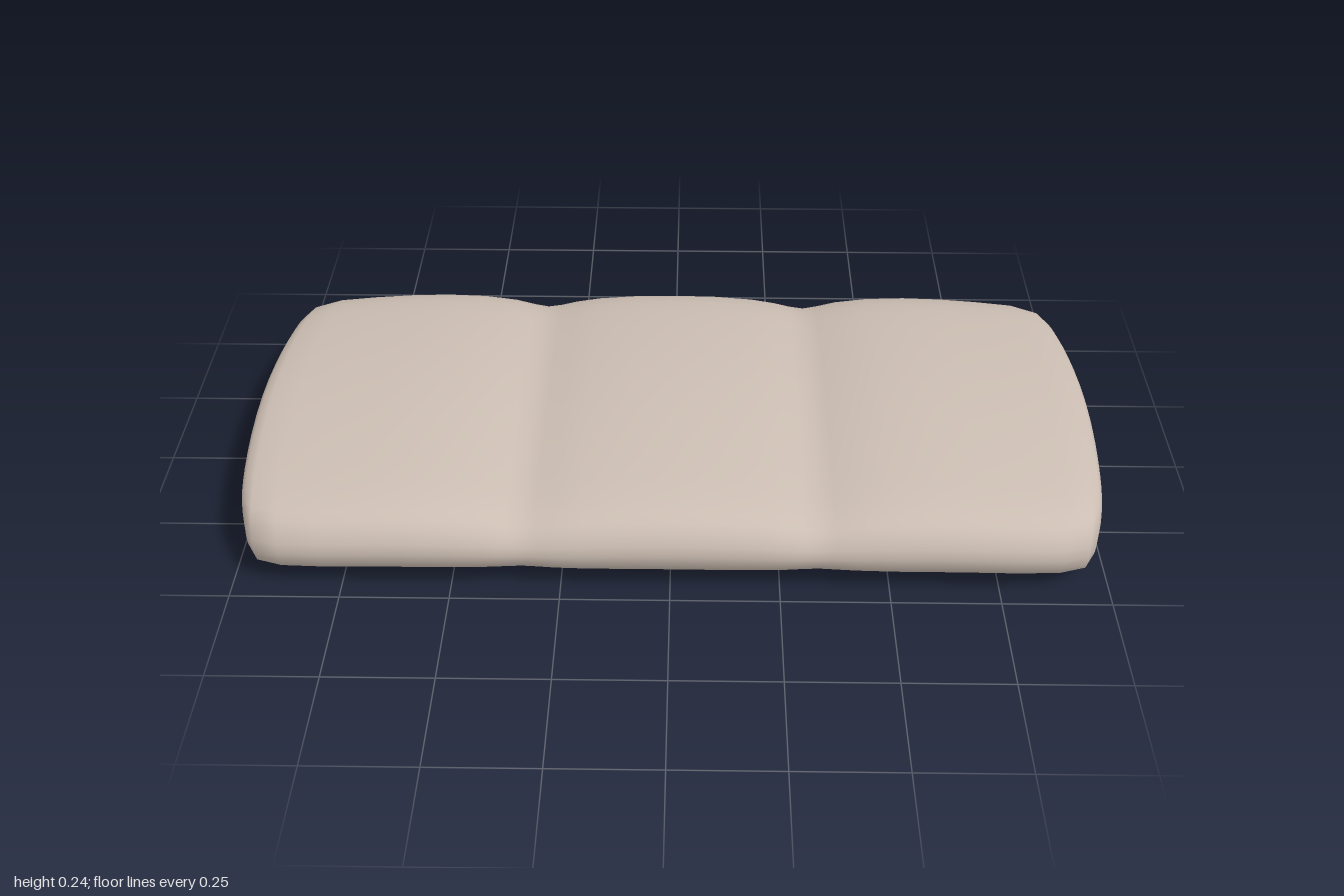
import * as THREE from 'three';
import { mergeVertices } from 'three/addons/utils/BufferGeometryUtils.js';

// One quarter of the pillow-like cross-section: [depth, height] as fractions
const QUARTER = [
  [1, 0], [0.99, 0.22], [0.96, 0.44], [0.925, 0.58], [0.88, 0.68], [0.8, 0.765],
  [0.7, 0.83], [0.55, 0.89], [0.4, 0.94], [0.2, 0.985],
];

// Half-length stations from the middle outward: [x, half depth, top, bottom]
const STATIONS = [
  [0, 0.497, 0.247, 0.012], [0.1, 0.497, 0.245, 0.012], [0.2, 0.495, 0.236, 0.013],
  [0.26, 0.491, 0.225, 0.015], [0.3, 0.486, 0.215, 0.017], [0.335, 0.483, 0.21, 0.018],
  [0.37, 0.486, 0.217, 0.016], [0.42, 0.492, 0.23, 0.014], [0.5, 0.496, 0.241, 0.012],
  [0.6, 0.497, 0.245, 0.012], [0.7, 0.496, 0.242, 0.011], [0.8, 0.493, 0.236, 0.008],
  [0.9, 0.485, 0.23, 0.005], [0.965, 0.462, 0.222, 0.003], [0.988, 0.42, 0.211, 0.012],
  [0.999, 0.37, 0.197, 0.03],
];

// Full closed section loop, from front over the top to the back and under
function sectionLoop() {
  const loop = [];
  for (let q = 0; q < 4; q++) {
    for (const [u, v] of q % 2 ? [[0, 1], ...QUARTER.slice(1).reverse()] : QUARTER) {
      loop.push([q === 1 || q === 2 ? -u : u, q < 2 ? v : -v]);
    }
  }
  return loop;
}

function cushionGeometry() {
  // Close the end with shrinking rings, then mirror the stations
  const [, w, top, bottom] = STATIONS[STATIONS.length - 1];
  const mid = (top + bottom) / 2, half = (top - bottom) / 2;
  const caps = [0.85, 0.6, 0.3, 0].map((k) => [1, w * k, mid + half * k, mid - half * k]);
  const right = [...STATIONS, ...caps];
  const left = right.slice(1).reverse().map(([x, ...rest]) => [-x, ...rest]);
  const rings = [...left, ...right];

  const loop = sectionLoop(), n = loop.length;
  const positions = [], index = [];
  rings.forEach(([x, depth, t, b], i) => {
    loop.forEach(([u, v], j) => {
      const z = u * depth;
      // Ends bow outward in the middle
      const bow = 1 - 0.16 * z * z * Math.pow(Math.abs(x), 4);
      positions.push(x * bow, (t + b) / 2 + (v * (t - b)) / 2, z);
      if (i < rings.length - 1) {
        const a = i * n + j, d = i * n + ((j + 1) % n);
        index.push(a, a + n, d + n, a, d + n, d);
      }
    });
  });
  let geometry = new THREE.BufferGeometry();
  geometry.setAttribute('position', new THREE.Float32BufferAttribute(positions, 3));
  geometry.setIndex(index);
  geometry = mergeVertices(geometry, 1e-5);
  geometry.computeVertexNormals();
  return geometry;
}

export function createModel() {
  const fabric = new THREE.MeshStandardMaterial({ color: 0xcbbdb2 });
  fabric.name = 'beige fabric';

  const group = new THREE.Group();
  group.name = 'seatCushion';
  // Three-panel padded cushion
  const cushion = new THREE.Mesh(cushionGeometry(), fabric);
  cushion.name = 'cushion';
  group.add(cushion);
  return group;
}
